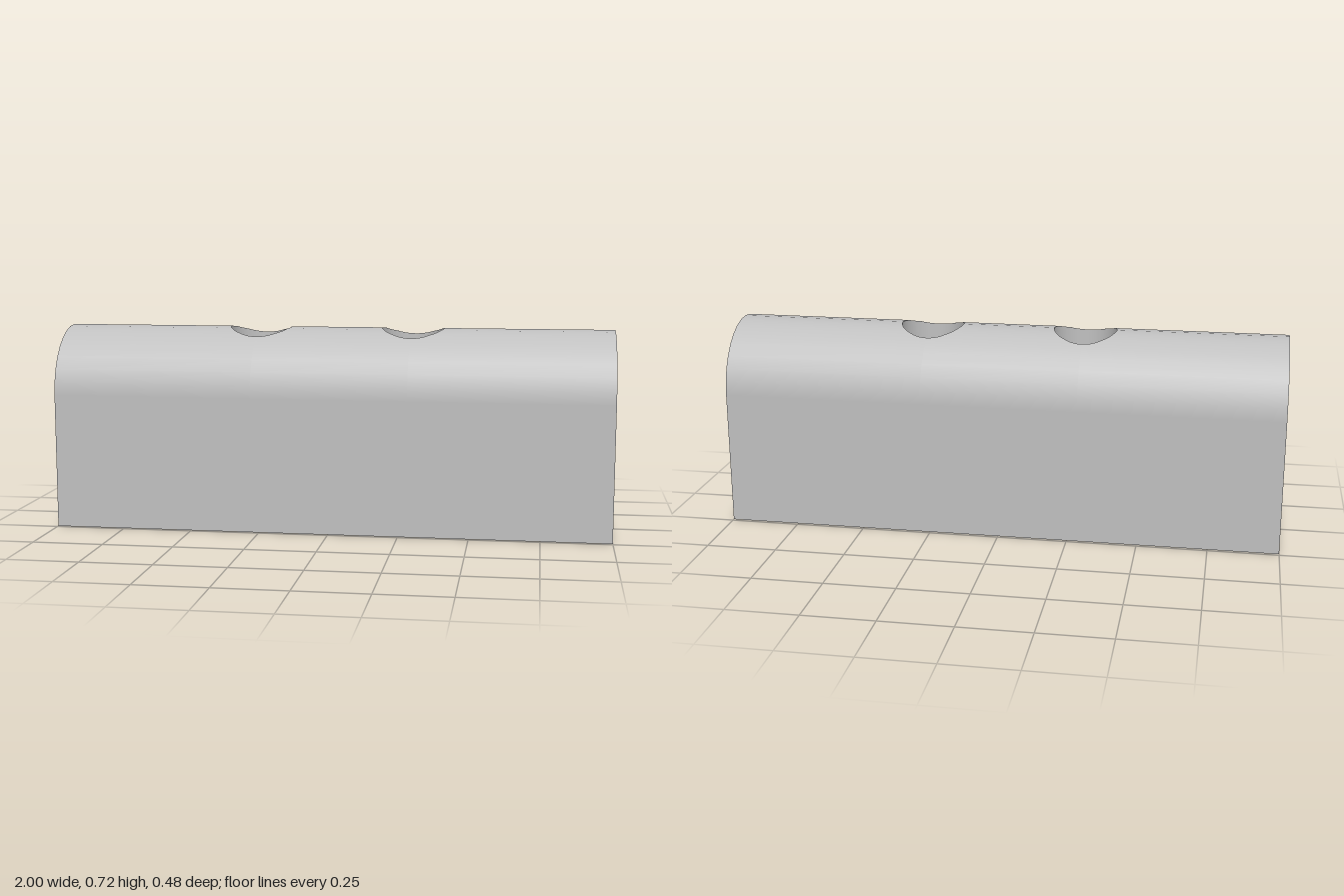
import * as THREE from 'three';

const R = 0.24, SPRING = 0.484, HALF = 1;      // arch radius, arch start height, half length
const HOLE_X = 0.28, R_HEAD = 0.113, R_BOLT = 0.058, SEAT_Y = 0.42;
const ARC = 16, SEG = 48;

// Height of the faceted arch at a given z
function topY(z) {
  const step = Math.PI / ARC;
  const a = Math.asin(Math.max(-1, Math.min(1, z / R)));
  const i = Math.min(ARC - 1, Math.floor((a + Math.PI / 2) / step + 1e-6));
  const a0 = -Math.PI / 2 + i * step, a1 = a0 + step;
  const z0 = R * Math.sin(a0), z1 = R * Math.sin(a1);
  const t = (z - z0) / (z1 - z0);
  return SPRING + R * (Math.cos(a0) * (1 - t) + Math.cos(a1) * t);
}

// Strips of the rounded top, running along x and leaving the two holes open
function roundedTop() {
  const rows = [];
  for (let i = 0; i <= ARC; i++) rows.push(R * Math.sin(-Math.PI / 2 + (i * Math.PI) / ARC));
  for (let j = 0; j <= SEG / 2; j++) rows.push(-R_HEAD * Math.cos((j * 2 * Math.PI) / SEG));
  rows.sort((a, b) => a - b);
  const zs = rows.filter((z, i) => i === 0 || z - rows[i - 1] > 1e-6);
  const pos = [], nor = [], idx = [];
  for (let span = 0; span < 3; span++) {
    const base = pos.length / 3;
    zs.forEach((z, i) => {
      const h = Math.sqrt(Math.max(0, R_HEAD * R_HEAD - z * z));
      const ends = [
        [-HALF, -HOLE_X - h], [-HOLE_X + h, HOLE_X - h], [HOLE_X + h, HALF],
      ][span];
      const y = topY(z), n = new THREE.Vector3(0, y - SPRING, z).normalize();
      for (const x of ends) { pos.push(x, y, z); nor.push(n.x, n.y, n.z); }
      if (i > 0) {
        const a = base + 2 * (i - 1);
        idx.push(a, a + 2, a + 1, a + 1, a + 2, a + 3);
      }
    });
  }
  const g = new THREE.BufferGeometry();
  g.setAttribute('position', new THREE.Float32BufferAttribute(pos, 3));
  g.setAttribute('normal', new THREE.Float32BufferAttribute(nor, 3));
  g.setIndex(idx);
  return g;
}

// Flat shape with round holes, laid in the xz plane
function flatPlate(shape, holes, r) {
  for (const x of holes) {
    shape.holes.push(new THREE.Path().absarc(x, 0, r, 0, Math.PI * 2, true));
  }
  return new THREE.ShapeGeometry(shape, SEG / 2);
}

export function createModel() {
  const model = new THREE.Group();
  model.name = 'roundedMountingBlock';
  const grey = new THREE.MeshStandardMaterial({ color: 0xc0c0c0, side: THREE.DoubleSide });
  grey.name = 'light grey';
  const add = (name, geometry, parent = model) => {
    const mesh = new THREE.Mesh(geometry, grey);
    mesh.name = name;
    parent.add(mesh);
    return mesh;
  };

  add('roundedTop', roundedTop());

  // Straight long sides
  for (const s of [1, -1]) {
    const side = add(s > 0 ? 'frontSide' : 'backSide', new THREE.PlaneGeometry(2 * HALF, SPRING));
    side.position.set(0, SPRING / 2, s * R);
    if (s < 0) side.rotation.y = Math.PI;
  }

  // Arched ends
  const arch = new THREE.Shape();
  arch.moveTo(-R, 0);
  arch.lineTo(R, 0);
  for (let i = 0; i <= ARC; i++) {
    const a = (i * Math.PI) / ARC;
    arch.lineTo(R * Math.cos(a), SPRING + R * Math.sin(a));
  }
  for (const s of [1, -1]) {
    const end = add(s > 0 ? 'leftEnd' : 'rightEnd', new THREE.ShapeGeometry(arch));
    end.rotation.y = (s * Math.PI) / 2;
    end.position.x = s * HALF;
  }

  // Underside with the bolt holes
  const base = new THREE.Shape([
    new THREE.Vector2(-HALF, -R), new THREE.Vector2(HALF, -R),
    new THREE.Vector2(HALF, R), new THREE.Vector2(-HALF, R),
  ]);
  add('underside', flatPlate(base, [-HOLE_X, HOLE_X], R_BOLT)).rotation.x = Math.PI / 2;

  // Counterbored holes
  for (const s of [1, -1]) {
    const hole = new THREE.Group();
    hole.name = s > 0 ? 'leftBoltHole' : 'rightBoltHole';
    hole.position.x = s * HOLE_X;
    model.add(hole);

    // Both walls face inwards, so the cylinders are turned inside out
    const wall = (r, y0, y1) => {
      const g = new THREE.CylinderGeometry(r, r, 1, SEG, 1, true);
      const p = g.attributes.position, n = g.attributes.normal;
      for (let i = 0; i < p.count; i++) {
        p.setY(i, p.getY(i) > 0 ? y1(p.getZ(i)) : y0);
        n.setXYZ(i, -n.getX(i), 0, -n.getZ(i));
      }
      const k = g.index.array;
      for (let i = 0; i < k.length; i += 3) [k[i], k[i + 1]] = [k[i + 1], k[i]];
      return g;
    };
    add('counterboreWall', wall(R_HEAD, SEAT_Y, topY), hole);
    add('boltBoreWall', wall(R_BOLT, 0, () => SEAT_Y), hole);
    const seat = add('boltSeat', new THREE.RingGeometry(R_BOLT, R_HEAD, SEG), hole);
    seat.rotation.x = -Math.PI / 2;
    seat.position.y = SEAT_Y;
  }
  return model;
}
